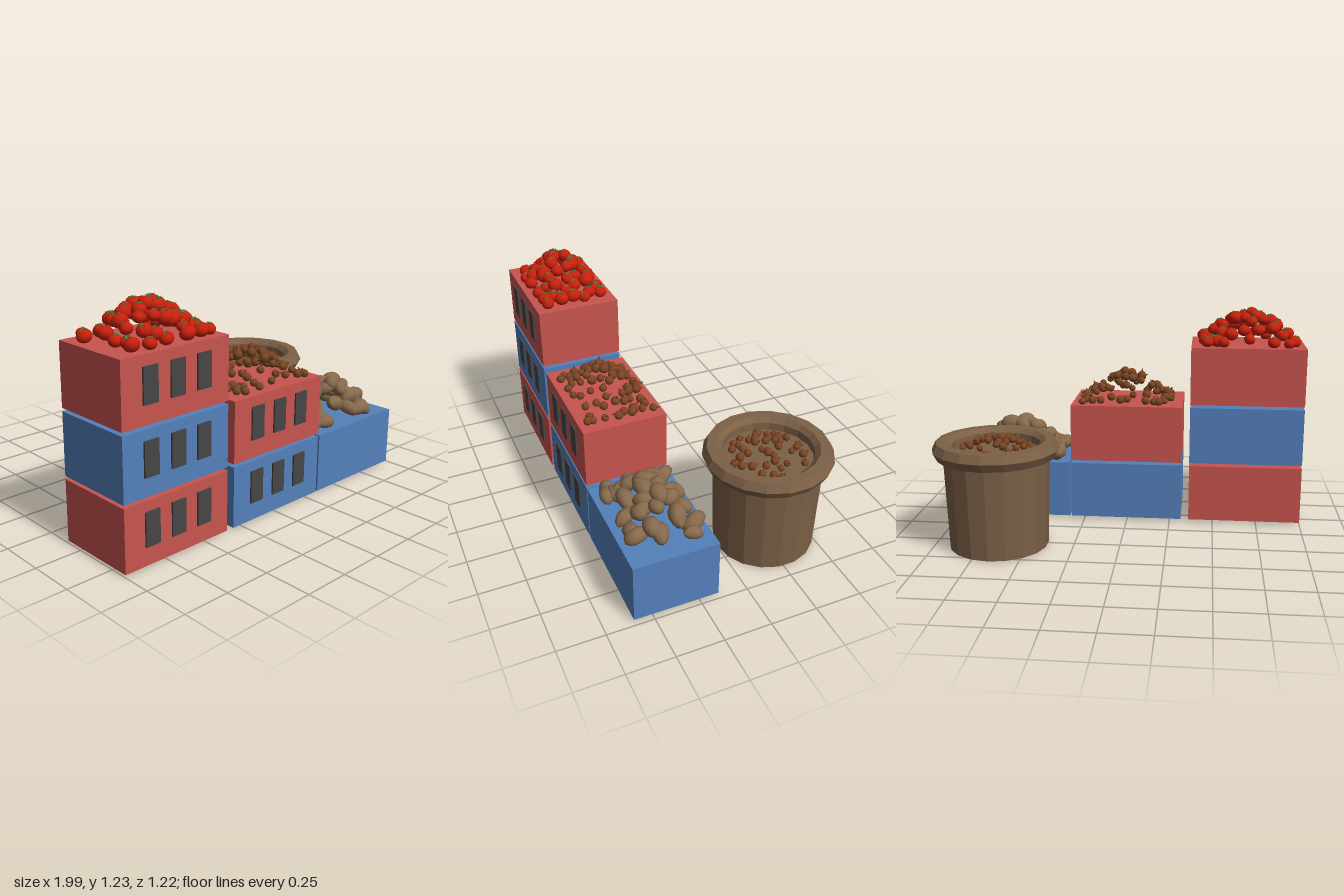
import * as THREE from 'three';

function material(name, color, flatShading = false) {
  const m = new THREE.MeshStandardMaterial({ color, flatShading });
  m.name = name;
  return m;
}

// Small seeded generator so the heaps are always the same
function seeded(seed) {
  return () => {
    seed = (seed * 1664525 + 1013904223) % 4294967296;
    return seed / 4294967296;
  };
}

export function createModel() {
  const model = new THREE.Group();
  model.name = 'marketCratesAndBasket';

  const red = material('crateRed', 0xc8554f);
  const blue = material('crateBlue', 0x5480bb);
  const grey = material('slotGrey', 0x464646);
  const tomatoRed = material('tomatoRed', 0xc8200c);
  const leafGreen = material('leafGreen', 0x4f7a3c);
  const nutBrown = material('nutBrown', 0x7a4524);
  const potatoTan = material('potatoTan', 0x86694c);
  const basketBrown = material('basketBrown', 0x7c6046, true);
  basketBrown.side = THREE.DoubleSide;

  const add = (parent, name, geometry, mat, x = 0, y = 0, z = 0) => {
    const mesh = new THREE.Mesh(geometry, mat);
    mesh.name = name;
    mesh.position.set(x, y, z);
    parent.add(mesh);
    return mesh;
  };

  // Crates, with three dark slots on the front of the tall stacks
  const crateGeo = new THREE.BoxGeometry(0.64, 0.325, 0.45);
  const slotGeo = new THREE.BoxGeometry(0.085, 0.175, 0.009);
  const crate = (x, level, mat, slots) => {
    const group = new THREE.Group();
    group.name = 'crate';
    group.position.set(x, 0.176 + level * 0.342, 0.375);
    add(group, 'crateBody', crateGeo, mat);
    if (slots) for (const sx of [-0.16, 0, 0.16]) add(group, 'slot', slotGeo, grey, sx, 0.022, 0.2295);
    model.add(group);
  };
  [red, blue, red].forEach((m, i) => crate(-0.68, i, m, true));
  [blue, red].forEach((m, i) => crate(0.005, i, m, true));
  crate(0.657, 0, blue, false);

  // Tomato: squashed ball with a five-pointed leaf on top
  const tomatoGeo = new THREE.SphereGeometry(1, 12, 8).scale(1, 0.86, 1);
  const star = new THREE.Shape();
  for (let i = 0; i < 10; i++) {
    const r = i % 2 ? 0.16 : 0.48, a = i * Math.PI / 5;
    star[i ? 'lineTo' : 'moveTo'](r * Math.cos(a), r * Math.sin(a));
  }
  const leafGeo = new THREE.ExtrudeGeometry(star, { depth: 0.1, bevelEnabled: false }).rotateX(-Math.PI / 2);
  const tomato = () => {
    const g = new THREE.Group();
    add(g, 'tomatoBody', tomatoGeo, tomatoRed);
    add(g, 'tomatoLeaf', leafGeo, leafGreen, 0, 0.8, 0);
    return g;
  };

  // Nut: round body with a thin stalk
  const nutGeo = new THREE.SphereGeometry(1, 10, 7);
  const stalkGeo = new THREE.CylinderGeometry(0.13, 0.24, 0.7, 6);
  const nut = () => {
    const g = new THREE.Group();
    add(g, 'nutBody', nutGeo, nutBrown);
    add(g, 'nutStalk', stalkGeo, nutBrown, 0, 1.25, 0);
    return g;
  };

  // Potato: uneven ellipsoid
  const potatoGeo = new THREE.SphereGeometry(1, 12, 8);
  const pp = potatoGeo.attributes.position;
  for (let i = 0; i < pp.count; i++) {
    const x = pp.getX(i), y = pp.getY(i), z = pp.getZ(i);
    const k = 1 + 0.08 * Math.sin(2.5 * x + 1.5 * y) + 0.06 * Math.cos(3 * z - x);
    pp.setXYZ(i, x * 1.3 * k, y * 0.82 * k, z * 0.92 * k);
  }
  potatoGeo.computeVertexNormals();
  const potato = () => {
    const g = new THREE.Group();
    add(g, 'potatoBody', potatoGeo, potatoTan);
    return g;
  };

  // Loose dome of items; each new item goes to the emptiest of a few random spots
  const heap = (o) => {
    const rnd = seeded(o.seed), placed = [];
    const group = new THREE.Group();
    group.name = o.name;
    group.position.set(o.x, o.y, o.z);
    for (let i = 0; i < o.count; i++) {
      let best = null, bestGap = -1;
      for (let t = 0; t < 5; t++) {
        let u = rnd() * 2 - 1, v = rnd() * 2 - 1;
        if (o.round) {
          const a = u * Math.PI, r = Math.sqrt(Math.abs(v));
          u = r * Math.cos(a);
          v = r * Math.sin(a);
        }
        const gap = Math.min(9, ...placed.map(([a, b]) => Math.hypot(a - u, b - v)));
        if (gap > bestGap) { bestGap = gap; best = [u, v]; }
      }
      placed.push(best);
      const [u, v] = best;
      const item = o.make();
      item.name = o.item;
      const size = o.size * (0.85 + 0.3 * rnd());
      const rise = Math.max(0, 1 - Math.pow(Math.hypot(u, v), 1.4));
      item.scale.setScalar(size);
      item.position.set(u * o.w, size * 0.8 + rise * o.h, v * o.d);
      item.rotation.set((rnd() - 0.5) * o.tilt, rnd() * Math.PI * 2, (rnd() - 0.5) * o.tilt, 'YXZ');
      group.add(item);
    }
    model.add(group);
  };

  heap({ name: 'tomatoHeap', item: 'tomato', make: tomato, seed: 11, count: 54,
    x: -0.68, y: 1.02, z: 0.375, w: 0.26, d: 0.175, h: 0.16, size: 0.037, tilt: 0.8 });
  heap({ name: 'nutHeap', item: 'nut', make: nut, seed: 5, count: 72,
    x: 0.01, y: 0.68, z: 0.375, w: 0.26, d: 0.18, h: 0.15, size: 0.023, tilt: 2.6 });
  heap({ name: 'potatoHeap', item: 'potato', make: potato, seed: 23, count: 34,
    x: 0.65, y: 0.338, z: 0.375, w: 0.25, d: 0.17, h: 0.16, size: 0.046, tilt: 1 });
  heap({ name: 'basketNuts', item: 'nut', make: nut, seed: 8, count: 40, round: true,
    x: 0.66, y: 0.51, z: -0.27, w: 0.195, d: 0.195, h: 0.075, size: 0.02, tilt: 2.6 });

  // Basket: tapered body, thick rolled rim and a filling just below it
  const basket = new THREE.Group();
  basket.name = 'basket';
  basket.position.set(0.66, 0, -0.27);
  add(basket, 'basketBody', new THREE.CylinderGeometry(0.285, 0.268, 0.5, 18), basketBrown, 0, 0.25, 0);
  const rim = [[0.235, 0.51], [0.26, 0.495], [0.315, 0.495], [0.339, 0.54], [0.317, 0.585],
    [0.265, 0.585], [0.238, 0.56], [0.235, 0.51]].map(([r, y]) => new THREE.Vector2(r, y));
  add(basket, 'basketRim', new THREE.LatheGeometry(rim, 18), basketBrown);
  add(basket, 'basketFilling', new THREE.CylinderGeometry(0.24, 0.24, 0.03, 18), basketBrown, 0, 0.505, 0);
  model.add(basket);

  return model;
}
